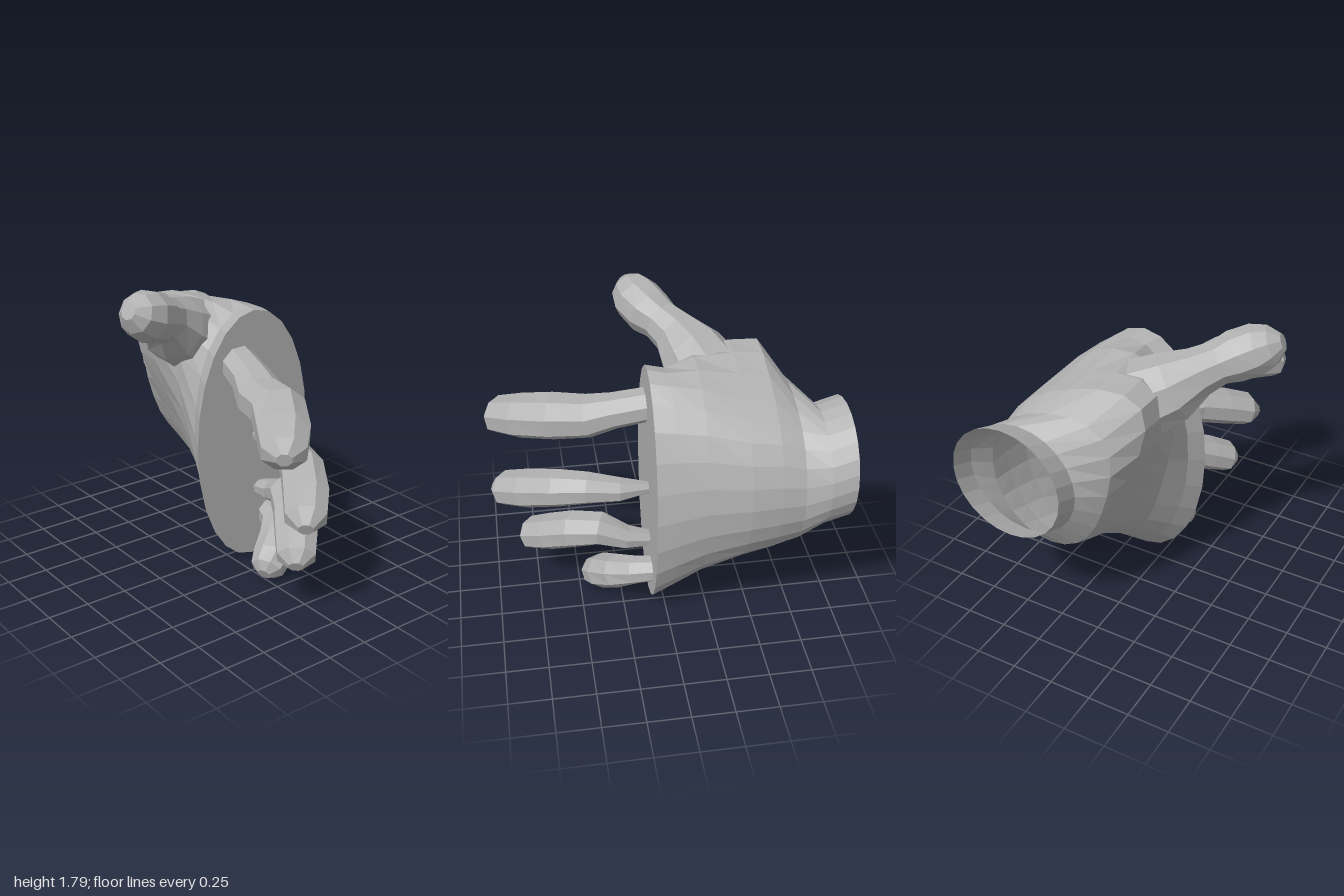
import * as THREE from 'three';

const skin = new THREE.MeshStandardMaterial({ color: 0xb2b2b2 });
skin.name = 'plain grey';
skin.flatShading = true;
skin.side = THREE.DoubleSide;

// Skins a list of rings (arrays of Vector3, counter-clockwise about the travel direction); the start stays open, the end is closed.
function loft(rings) {
  const pos = [];
  const tri = (...pts) => pts.forEach((p) => pos.push(p.x, p.y, p.z));
  const n = rings[0].length;
  const last = rings[rings.length - 1];
  const end = last.reduce((s, p) => s.add(p), new THREE.Vector3()).divideScalar(n);
  for (let j = 0; j < n; j++) {
    const k = (j + 1) % n;
    for (let i = 0; i < rings.length - 1; i++) {
      const a = rings[i], b = rings[i + 1];
      tri(a[j], a[k], b[k]);
      tri(a[j], b[k], b[j]);
    }
    tri(end, last[j], last[k]);
  }
  const geo = new THREE.BufferGeometry();
  geo.setAttribute('position', new THREE.Float32BufferAttribute(pos, 3));
  geo.computeVertexNormals();
  return geo;
}

// Bent digit: each joint is [x, y, z, radius]; width widens it sideways
function digit(name, joints, sides, width) {
  const pts = joints.map(([x, y, z]) => new THREE.Vector3(x, y, z));
  const up = new THREE.Vector3(0, 1, 0);
  const rings = pts.map((p, i) => {
    const t = pts[Math.min(i + 1, pts.length - 1)].clone().sub(pts[Math.max(i - 1, 0)]).normalize();
    const n = up.clone().addScaledVector(t, -up.dot(t)).normalize();
    const b = t.clone().cross(n);
    return Array.from({ length: sides }, (_, j) => {
      const a = ((j + 0.5) / sides) * Math.PI * 2;
      const r = joints[i][3] * 1.08;
      return p.clone().addScaledVector(n, r * Math.cos(a)).addScaledVector(b, r * width * Math.sin(a));
    });
  });
  const mesh = new THREE.Mesh(loft(rings), skin);
  mesh.name = name;
  return mesh;
}

// Wrist and palm: [x, bottom, top, back, front, thumb mound, palm hollow]
function palm() {
  const sections = [
    [-1, 0.74, 1.43, -0.74, -0.05, 0, 0],
    [-0.86, 0.69, 1.38, -0.73, -0.04, 0, 0],
    [-0.73, 0.53, 1.39, -0.68, 0.06, 0.14, 0.02],
    [-0.6, 0.47, 1.45, -0.68, 0.09, 0.32, 0.05],
    [-0.43, 0.41, 1.48, -0.67, 0.12, 0.29, 0.06],
    [-0.2, 0.27, 1.55, -0.62, 0.18, 0.14, 0.05],
    [-0.03, 0.12, 1.58, -0.58, 0.23, 0, 0.02],
    [0.08, 0.02, 1.59, -0.55, 0.27, 0, 0],
  ];
  const sides = 24;
  const lobe = (a, degrees) => Math.max(0, Math.cos(a - THREE.MathUtils.degToRad(degrees))) ** 3;
  const rings = sections.map(([x, y0, y1, z0, z1, mound, hollow]) =>
    Array.from({ length: sides }, (_, j) => {
      const a = (j / sides) * Math.PI * 2;
      const m = mound * lobe(a, 45);
      return new THREE.Vector3(
        x,
        (y0 + y1) / 2 + ((y1 - y0) / 2) * Math.cos(a) + m * 0.7,
        (z0 + z1) / 2 + ((z1 - z0) / 2) * Math.sin(a) + m * 0.8 - hollow * lobe(a, 105)
      );
    })
  );
  const mesh = new THREE.Mesh(loft(rings), skin);
  mesh.name = 'palm';
  return mesh;
}

export function createModel() {
  const hand = new THREE.Group();
  hand.name = 'hand';
  hand.add(palm());

  hand.add(digit('thumb', [
    [-0.3, 1.4, 0.08, 0.21], [-0.23, 1.48, 0.22, 0.185], [-0.15, 1.56, 0.33, 0.13], [-0.08, 1.6, 0.41, 0.115],
    [-0.02, 1.63, 0.48, 0.135], [0.04, 1.67, 0.58, 0.135], [0.07, 1.705, 0.66, 0.105], [0.085, 1.73, 0.715, 0.045],
  ], 9, 1));

  // Four curled fingers, from the top of the hand to the bottom
  hand.add(digit('indexFinger', [
    [0.05, 1.3, -0.03, 0.09], [0.25, 1.25, 0.01, 0.095], [0.4, 1.195, 0.06, 0.115], [0.6, 1.19, 0.1, 0.125],
    [0.78, 1.14, 0.21, 0.12], [0.92, 1.095, 0.32, 0.1], [0.97, 1.085, 0.36, 0.035],
  ], 8, 1.2));
  hand.add(digit('middleFinger', [
    [0.05, 0.81, -0.17, 0.025], [0.25, 0.815, -0.17, 0.065], [0.43, 0.825, -0.14, 0.085], [0.6, 0.8, -0.08, 0.1],
    [0.78, 0.73, 0.04, 0.105], [0.91, 0.67, 0.15, 0.095], [0.97, 0.64, 0.2, 0.035],
  ], 8, 1.2));
  hand.add(digit('ringFinger', [
    [0.05, 0.45, -0.2, 0.04], [0.22, 0.48, -0.2, 0.065], [0.37, 0.54, -0.17, 0.09], [0.52, 0.5, -0.1, 0.1],
    [0.66, 0.42, 0, 0.1], [0.77, 0.355, 0.09, 0.09], [0.815, 0.325, 0.13, 0.035],
  ], 8, 1.2));
  hand.add(digit('littleFinger', [
    [0.05, 0.28, -0.28, 0.07], [0.18, 0.26, -0.25, 0.08], [0.28, 0.205, -0.18, 0.095],
    [0.355, 0.135, -0.08, 0.1], [0.395, 0.085, -0.005, 0.085], [0.41, 0.065, 0.03, 0.035],
  ], 8, 1.12));
  return hand;
}
